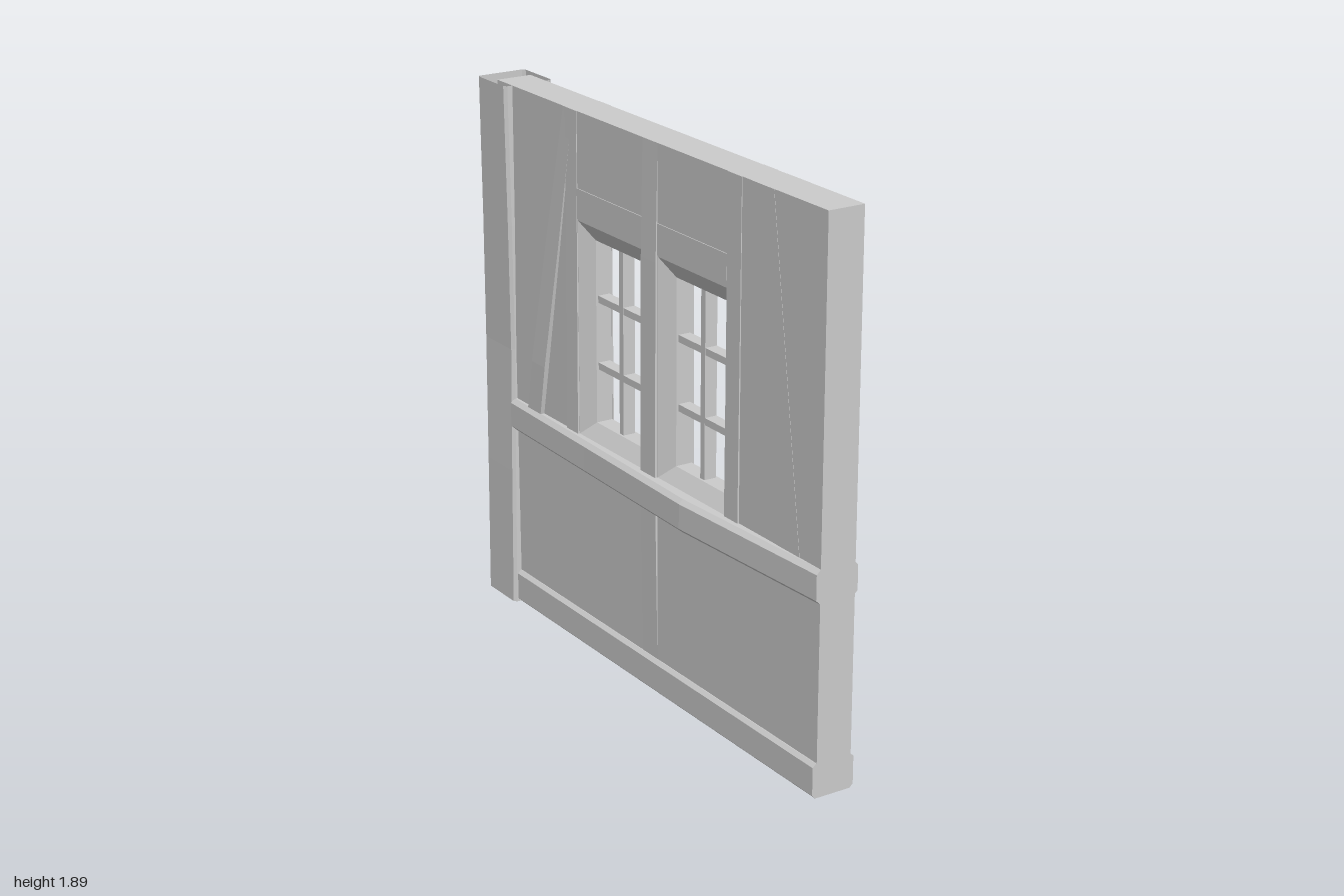
import * as THREE from 'three';

const plaster = new THREE.MeshStandardMaterial({ color: 0xcccccc, side: THREE.DoubleSide });
plaster.name = 'plain grey';

// Rectangle a0..a1 by b0..b1, counter-clockwise, with optional cut corners
function rect(a0, a1, b0, b1, c = 0) {
  if (!c) return [[a0, b0], [a1, b0], [a1, b1], [a0, b1]];
  return [[a0 + c, b0], [a1 - c, b0], [a1, b0 + c], [a1, b1 - c],
    [a1 - c, b1], [a0 + c, b1], [a0, b1 - c], [a0, b0 + c]];
}

// Skin rectangular sections [t, a0, a1, b0, b1] along an axis
const along = {
  x: (a, b, t) => [t, a, b],
  y: (a, b, t) => [b, t, a],
  z: (a, b, t) => [a, b, t],
};
function loft(axis, stations, chamfer = 0, caps = true) {
  const pos = [], index = [];
  let n = 0;
  for (const [t, ...r] of stations) {
    const ring = rect(...r, chamfer);
    n = ring.length;
    for (const [a, b] of ring) pos.push(...along[axis](a, b, t));
  }
  for (let k = 0; k < stations.length - 1; k++) {
    for (let i = 0; i < n; i++) {
      const j = (i + 1) % n, p = k * n, q = p + n;
      index.push(p + i, p + j, q + j, p + i, q + j, q + i);
    }
  }
  if (caps) {
    const e = (stations.length - 1) * n;
    for (let i = 1; i < n - 1; i++) index.push(0, i + 1, i, e, e + i, e + i + 1);
  }
  const g = new THREE.BufferGeometry();
  g.setAttribute('position', new THREE.Float32BufferAttribute(pos, 3));
  g.setIndex(index);
  const flat = g.toNonIndexed();
  flat.computeVertexNormals();
  return flat;
}

export function createModel() {
  const model = new THREE.Group();
  model.name = 'timberWall';
  const add = (name, geometry, parent = model) => {
    const m = new THREE.Mesh(geometry, plaster);
    m.name = name;
    parent.add(m);
    return m;
  };
  const T = 0.065, H = 1.89;
  const sill = 0.77, head = 1.52;
  const windows = [
    { name: 'frontWindow', z0: 0.10, z1: 0.49 },
    { name: 'backWindow', z0: 0.01, z1: -0.385 },
  ].map(w => ({ ...w, z0: Math.min(w.z0, w.z1), z1: Math.max(w.z0, w.z1) }));

  // Wall panel with two window openings
  const panel = new THREE.Shape(rect(-0.9, 1, 0, H).map(p => new THREE.Vector2(...p)));
  for (const w of windows) {
    panel.holes.push(new THREE.Path(
      rect(w.z0, w.z1, sill, head).reverse().map(p => new THREE.Vector2(...p))));
  }
  const wall = new THREE.ExtrudeGeometry(panel, { depth: 2 * T, bevelEnabled: false });
  wall.rotateY(-Math.PI / 2);
  wall.translate(T, 0, 0);
  add('wallPanel', wall);

  // Windows: splayed frame and glazing bars
  for (const w of windows) {
    const g = new THREE.Group();
    g.name = w.name;
    model.add(g);
    const i0 = w.z0 + 0.055, i1 = w.z1 - 0.053, y0 = 0.82, y1 = 1.46;
    const outer = [sill, head, w.z0, w.z1], inner = [y0, y1, i0, i1];
    add('splayedFrame', loft('x', [[T, ...outer], [0.03, ...inner],
      [-0.03, ...inner], [-T, ...outer]], 0, false), g);
    add('uprightBar', new THREE.BoxGeometry(0.045, y1 - y0, 0.024), g)
      .position.set(0, (y0 + y1) / 2, (i0 + i1) / 2);
    for (const y of [1.02, 1.255]) {
      add('crossBar', new THREE.BoxGeometry(0.044, 0.024, i1 - i0), g)
        .position.set(0, y, (i0 + i1) / 2);
    }
  }

  // Horizontal rails, the middle one bowed outward
  add('middleRail', loft('z', [
    [-0.81, -0.088, 0.083, 0.655, 0.77],
    [-0.3, -0.1, 0.095, 0.655, 0.77],
    [0.3, -0.115, 0.11, 0.655, 0.77],
    [1, -0.08, 0.075, 0.655, 0.77]], 0.015));
  add('bottomRail', loft('z', [
    [-0.81, -0.08, 0.078, 0, 0.12],
    [1, -0.08, 0.076, 0, 0.12]], 0.012));
  add('lintel', loft('z', [
    [-0.385, -0.068, 0.068, 1.525, 1.63],
    [0.49, -0.068, 0.068, 1.525, 1.63]]));

  // Upright studs beside and between the windows
  add('frontStud', loft('y', [
    [sill, 0.491, 0.565, -0.071, 0.071], [H, 0.491, 0.565, -0.067, 0.067]]));
  add('backStud', loft('y', [
    [sill, -0.457, -0.386, -0.072, 0.072], [H, -0.457, -0.386, -0.067, 0.067]]));
  add('middleStud', loft('y', [
    [0.1, 0.012, 0.099, -0.0655, 0.0655],
    [sill, 0.012, 0.099, -0.076, 0.076],
    [1.5, 0.012, 0.099, -0.073, 0.073],
    [H, 0.012, 0.099, -0.0655, 0.0655]]));

  // Leaning braces
  add('frontBrace', loft('y', [
    [sill, 0.77, 0.89, -0.066, 0.066], [H, 0.61, 0.73, -0.066, 0.066]]));
  add('backBrace', loft('y', [
    [sill, -0.705, -0.62, -0.08, 0.08],
    [0.95, -0.67, -0.585, -0.082, 0.082],
    [1.4, -0.58, -0.5, -0.073, 0.073],
    [H, -0.47, -0.41, -0.066, 0.066]]));

  // Hollow, slightly bent corner post
  add('cornerPost', loft('y', [
    [0, -0.98, -0.795, -0.095, 0.09],
    [0.5, -0.988, -0.8, -0.088, 0.098],
    [0.95, -1, -0.805, -0.08, 0.108],
    [1.4, -0.99, -0.8, -0.087, 0.097],
    [H, -0.985, -0.8, -0.095, 0.09]], 0.01, false));
  return model;
}
